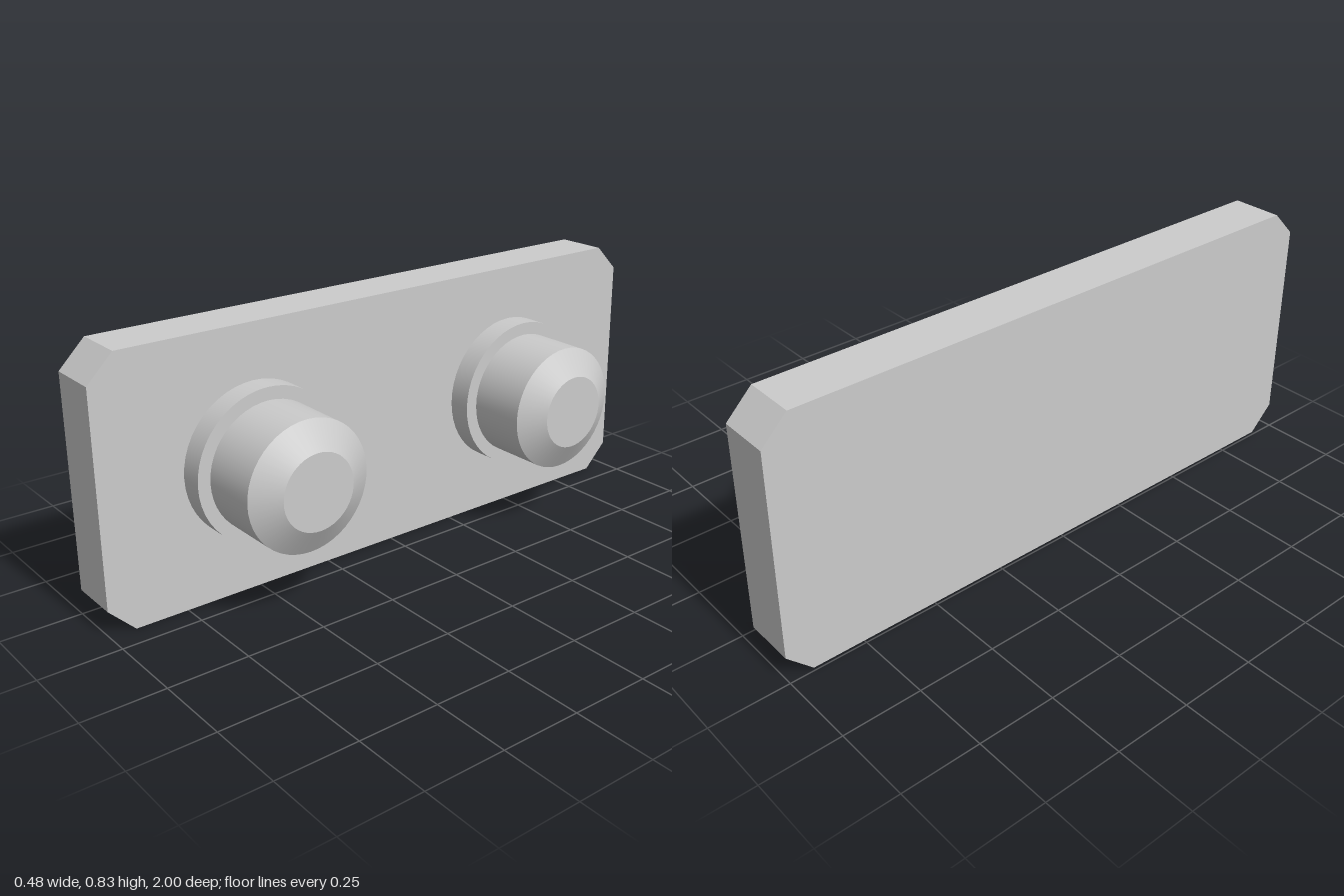
import * as THREE from 'three';
import { toCreasedNormals } from 'three/addons/utils/BufferGeometryUtils.js';

const HEIGHT = 0.826, CHAMFER = 0.082, BACK = -0.24, FACE = -0.075;

export function createModel() {
  const group = new THREE.Group();
  const material = new THREE.MeshStandardMaterial({ color: 0xcccccc });

  // Upright plate with chamfered corners, extruded along x
  const c = CHAMFER, h = HEIGHT;
  const outline = new THREE.Shape([
    [-1 + c, 0], [1 - c, 0], [1, c], [1, h - c],
    [1 - c, h], [-1 + c, h], [-1, h - c], [-1, c],
  ].map(([z, y]) => new THREE.Vector2(z, y)));
  const plateGeometry = new THREE.ExtrudeGeometry(outline, { depth: FACE - BACK, bevelEnabled: false });
  plateGeometry.rotateY(Math.PI / 2).translate(BACK, 0, 0);
  const plate = new THREE.Mesh(plateGeometry, material);
  plate.name = 'plate';
  group.add(plate);

  // Stud: wide collar, straight shank and tapered tip, turned about the x axis
  const profile = [
    [0.24, FACE], [0.24, 0], [0.2, 0], [0.2, 0.19], [0.117, 0.24], [0, 0.24],
  ].map(([r, x]) => new THREE.Vector2(r, x));
  const studGeometry = toCreasedNormals(new THREE.LatheGeometry(profile, 48), Math.PI / 6);
  studGeometry.rotateZ(-Math.PI / 2);

  for (const [name, side] of [['frontStud', 1], ['backStud', -1]]) {
    const stud = new THREE.Mesh(studGeometry, material);
    stud.name = name;
    stud.position.set(0, h / 2, side * 0.495);
    group.add(stud);
  }
  return group;
}
